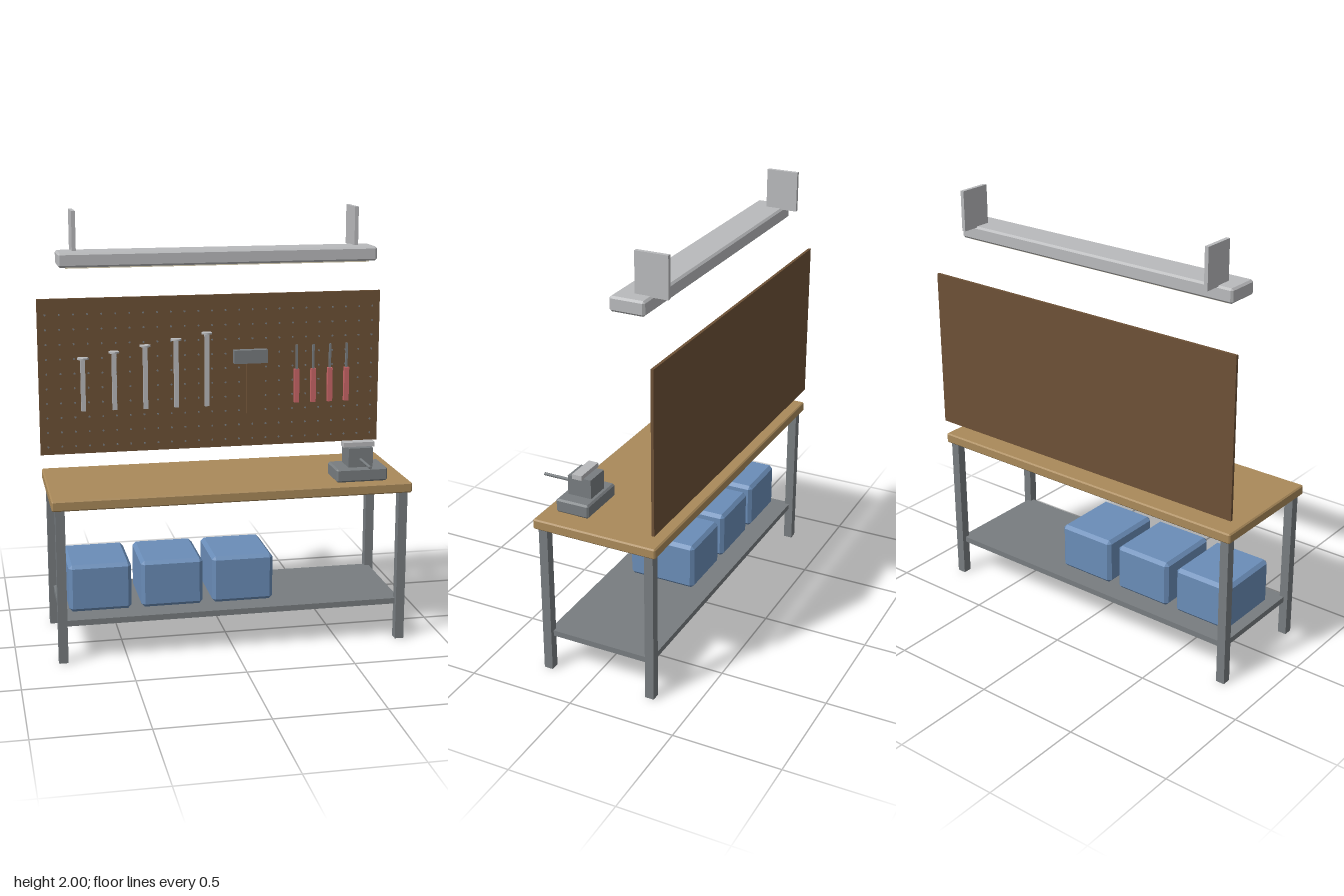
import * as THREE from 'three';
import { ConvexGeometry } from 'three/addons/geometries/ConvexGeometry.js';
import { mergeGeometries } from 'three/addons/utils/BufferGeometryUtils.js';

const mat = (name, color) => {
  const m = new THREE.MeshStandardMaterial({ color });
  m.name = name;
  return m;
};

// Box with one flat chamfer along every edge
function chamferBox(w, h, d, b) {
  const pts = [];
  for (const sx of [-1, 1]) for (const sy of [-1, 1]) for (const sz of [-1, 1]) {
    for (let axis = 0; axis < 3; axis++) {
      const p = [w, h, d].map((s, i) => s / 2 - (i === axis ? 0 : b));
      pts.push(new THREE.Vector3(p[0] * sx, p[1] * sy, p[2] * sz));
    }
  }
  return new ConvexGeometry(pts);
}

export function createModel() {
  const wood = mat('bench wood', 0xaa8a5a);
  const board = mat('dark board', 0x6d5136);
  const steel = mat('grey steel', 0x787d80);
  const light = mat('light metal', 0xb9babc);
  const blue = mat('bin blue', 0x6a8db8);
  const red = mat('grip red', 0xca6668);
  const cream = mat('diffuser cream', 0xe6dcc0);

  const model = new THREE.Group();
  model.name = 'workbench';

  const add = (name, geo, material, x, y, z, parent = model) => {
    const mesh = new THREE.Mesh(geo, material);
    mesh.name = name;
    mesh.position.set(x, y, z);
    parent.add(mesh);
    return mesh;
  };
  // Box given by its limits on each axis; bevel is optional
  const block = (name, material, [x0, x1], [y0, y1], [z0, z1], bevel = 0, parent = model) => {
    const s = [x1 - x0, y1 - y0, z1 - z0];
    const geo = bevel ? chamferBox(...s, bevel) : new THREE.BoxGeometry(...s);
    return add(name, geo, material, (x0 + x1) / 2, (y0 + y1) / 2, (z0 + z1) / 2, parent);
  };
  const group = (name) => {
    const g = new THREE.Group();
    g.name = name;
    model.add(g);
    return g;
  };

  // Bench: top, legs, lower shelf
  block('benchTop', wood, [-0.83, 0.83], [0.72, 0.768], [-0.333, 0.26], 0.006);
  for (const x of [-0.793, 0.793]) for (const z of [-0.294, 0.22]) {
    block('leg', steel, [x - 0.021, x + 0.021], [0, 0.722], [z - 0.021, z + 0.021]);
  }
  block('lowerShelf', steel, [-0.793, 0.793], [0.168, 0.195], [-0.294, 0.22]);

  // Storage bins
  for (let i = 0; i < 3; i++) {
    const x = -0.607 + i * 0.334;
    block('storageBin', blue, [x - 0.144, x + 0.144], [0.195, 0.418], [-0.209, 0.121], 0.016);
  }

  // Pegboard with a grid of small round holes
  block('pegboard', board, [-0.833, 0.833], [0.835, 1.583], [-0.333, -0.32]);
  const dots = [];
  for (let c = 0; c < 25; c++) for (let r = 0; r < 10; r++) {
    const dot = new THREE.CylinderGeometry(0.005, 0.005, 0.004, 6);
    dot.rotateX(Math.PI / 2);
    dot.translate(-0.796 + c * 0.0663, 0.873 + r * 0.0705, -0.3195);
    dots.push(dot);
  }
  add('pegHoles', mergeGeometries(dots), steel, 0, 0, 0);

  // Five wrenches of growing length, each with a flat round head
  for (let i = 0; i < 5; i++) {
    const x = -0.626 + i * 0.149, top = 1.3 + i * 0.0255;
    const g = group('wrench');
    block('wrenchHandle', light, [x - 0.011, x + 0.011], [1.047, top], [-0.306, -0.29], 0, g);
    add('wrenchHead', new THREE.CylinderGeometry(0.026, 0.026, 0.008, 16), light, x, top, -0.3, g);
  }

  // Hammer
  const hammer = group('hammer');
  block('hammerHead', steel, [0.099, 0.264], [1.252, 1.317], [-0.308, -0.27], 0, hammer);
  block('hammerHandle', board, [0.165, 0.198], [1.003, 1.254], [-0.308, -0.288], 0, hammer);

  // Four screwdrivers
  for (let i = 0; i < 4; i++) {
    const x = 0.413 + i * 0.0835;
    const g = group('screwdriver');
    block('screwdriverGrip', red, [x - 0.012, x + 0.012], [1.047, 1.213], [-0.308, -0.286], 0, g);
    block('screwdriverShaft', steel, [x - 0.005, x + 0.005], [1.213, 1.332], [-0.303, -0.292], 0, g);
  }

  // Bench vise
  const vise = group('vise');
  block('viseBase', steel, [0.483, 0.727], [0.768, 0.832], [0.042, 0.203], 0.008, vise);
  block('viseBody', steel, [0.546, 0.662], [0.832, 0.922], [0.063, 0.177], 0, vise);
  block('viseJaw', light, [0.53, 0.678], [0.92, 0.942], [0.099, 0.146], 0, vise);
  const screw = new THREE.CylinderGeometry(0.007, 0.007, 0.2, 10);
  screw.rotateX(Math.PI / 2);
  add('viseScrew', screw, steel, 0.604, 0.868, 0.23, vise);

  // Hanging lamp: housing, diffuser underneath, two hanger plates
  const lamp = group('lamp');
  block('lampHousing', light, [-0.747, 0.743], [1.754, 1.82], [-0.248, -0.088], 0.009, lamp);
  block('lampDiffuser', cream, [-0.712, 0.708], [1.748, 1.757], [-0.228, -0.108], 0, lamp);
  for (const x of [-0.666, 0.663]) {
    block('lampHanger', light, [x - 0.009, x + 0.009], [1.815, 2], [-0.318, -0.168], 0, lamp);
  }

  return model;
}
